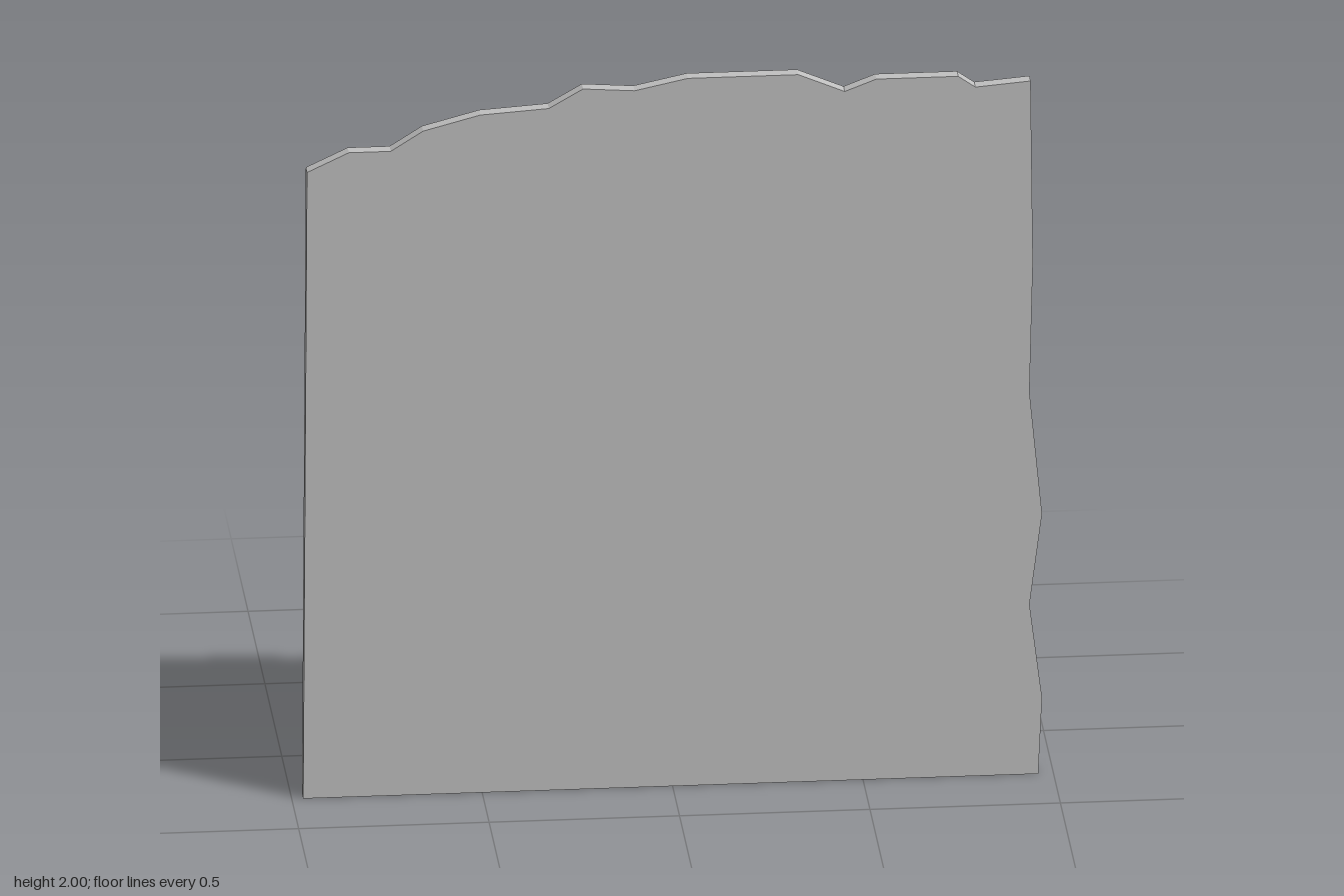
import * as THREE from 'three';

export function createModel() {
  const model = new THREE.Group();
  model.name = 'proppedBoard';
  const grey = new THREE.MeshStandardMaterial({ name: 'grey', color: 0xc0c0c0 });

  const add = (name, geometry, parent = model) => {
    const mesh = new THREE.Mesh(geometry, grey);
    mesh.name = name;
    parent.add(mesh);
    return mesh;
  };
  // Box given by its lower and upper corners
  const box = (name, [x0, y0, z0], [x1, y1, z1], parent) =>
    add(name, new THREE.BoxGeometry(x1 - x0, y1 - y0, z1 - z0), parent)
      .position.set((x0 + x1) / 2, (y0 + y1) / 2, (z0 + z1) / 2);
  const extrude = (points, depth) => new THREE.ExtrudeGeometry(
    new THREE.Shape(points.map(([x, y]) => new THREE.Vector2(x, y))),
    { depth, bevelEnabled: false });

  // Board with a ragged top and right edge
  const outline = [
    [-0.97, 0], [0.96, 0], [0.97, 0.215], [0.937, 0.48], [0.97, 0.735],
    [0.937, 1.08], [0.946, 1.45], [0.94, 1.96], [0.795, 1.948], [0.75, 1.98],
    [0.535, 1.98], [0.452, 1.948], [0.33, 2], [0.04, 2], [-0.1, 1.97],
    [-0.235, 1.98], [-0.325, 1.928], [-0.505, 1.916], [-0.655, 1.876],
    [-0.74, 1.822], [-0.85, 1.822], [-0.96, 1.77],
  ];
  add('board', extrude(outline, 0.036)).position.z = 0.259;

  // Two stands behind the board: foot, post and slanted brace
  for (const side of [-1, 1]) {
    const stand = new THREE.Group();
    stand.name = side > 0 ? 'leftStand' : 'rightStand';
    stand.position.x = side * 0.688;
    model.add(stand);
    box('foot', [-0.077, 0, -0.292], [0.077, 0.08, 0.259], stand);
    box('post', [-0.04, 0.08, 0.2], [0.04, 1.695, 0.259], stand);

    // Side profile of the brace, as (-z, y)
    const brace = extrude([[0.1, 0.08], [-0.17, 1.097], [-0.202, 1.105], [-0.202, 0.95], [0.034, 0.08]].reverse(), 0.076);
    brace.rotateY(Math.PI / 2);
    add('brace', brace, stand).position.x = -0.038;
  }

  // Rail joining the stands
  box('crossRail', [-0.765, 0.29, 0.183], [0.76, 0.37, 0.243]);

  return model;
}
